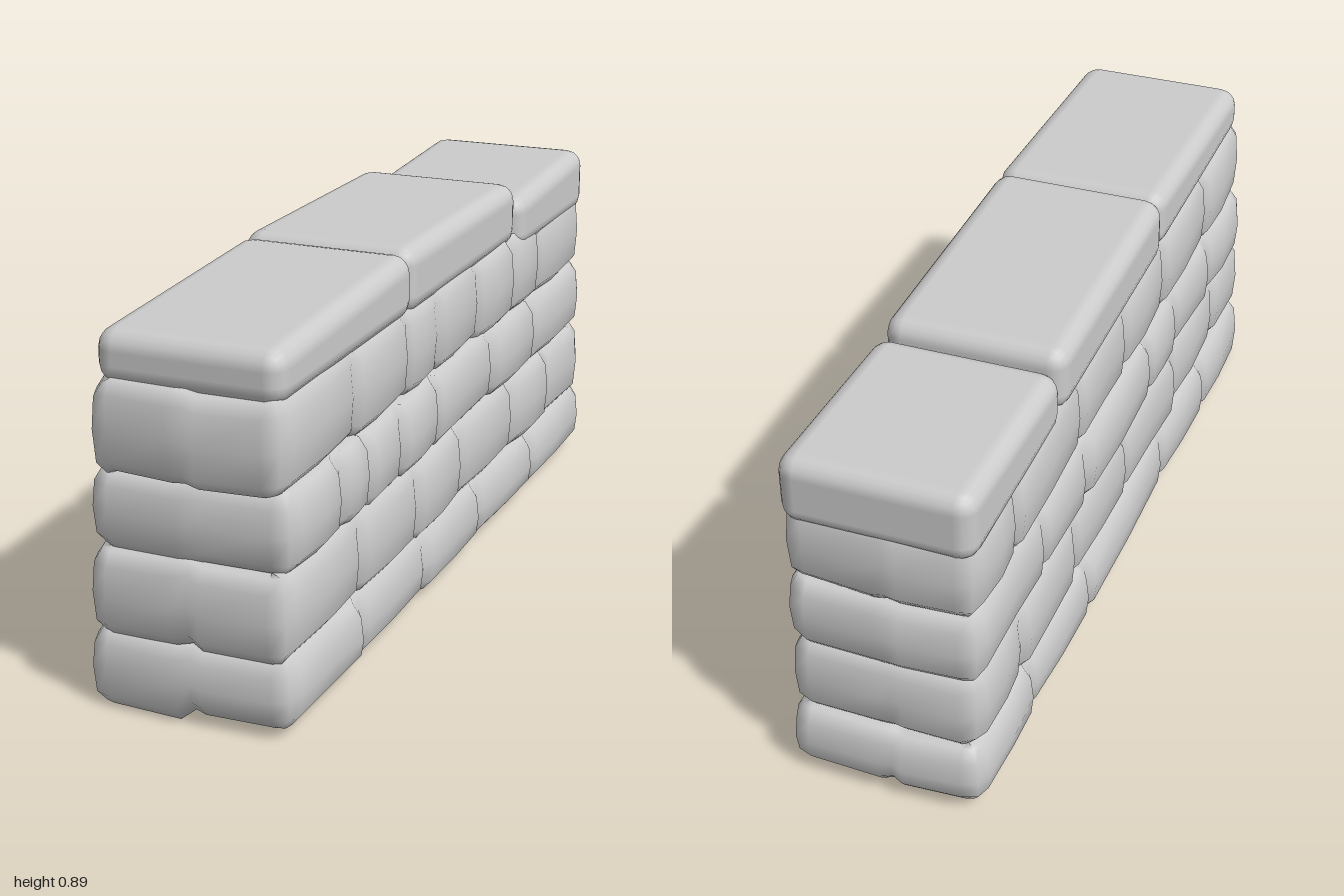
import * as THREE from 'three';
import { RoundedBoxGeometry } from 'three/addons/geometries/RoundedBoxGeometry.js';

const material = new THREE.MeshStandardMaterial({ color: 0xcccccc });
const { lerp } = THREE.MathUtils;

// Small seeded generator, returns -1..1
let seed = 7;
function wobble() {
  seed = (seed * 16807) % 2147483647;
  return (seed / 2147483647) * 2 - 1;
}

// Courses from the ground up: y range, x of each side at [front, back],
// z of the ends, and the z of the joints along each side
const courses = [
  { y: [0.015, 0.183], left: [0.242, 0.246], right: [-0.25, -0.217], z: [0.985, -0.992], split: true,
    leftJoints: [0.6, 0.22, -0.15, -0.55], rightJoints: [0.63, 0.28, -0.29, -0.66] },
  { y: [0.183, 0.376], left: [0.238, 0.242], right: [-0.239, -0.21], z: [0.99, -0.975], split: true,
    leftJoints: [0.6, 0.26, -0.03, -0.4, -0.68], rightJoints: [0.74, 0.38, 0, -0.36, -0.7] },
  { y: [0.376, 0.553], left: [0.24, 0.24], right: [-0.241, -0.213], z: [0.97, -0.975],
    leftJoints: [0.7, 0.55, 0.36, 0.13, -0.24, -0.55], rightJoints: [0.66, 0.38, 0.16, -0.3, -0.57] },
  { y: [0.553, 0.755], left: [0.23, 0.234], right: [-0.222, -0.208], z: [0.99, -0.972],
    leftJoints: [0.6, 0.3, 0.11, -0.16, -0.4, -0.6], rightJoints: [0.65, 0.3, 0, -0.32, -0.73] },
];

// Columns { x, z, nx, nz } along one long side, front to back: each stone has its own
// slightly tilted face, and the joints between stones are pressed in
function sideColumns(course, side, s) {
  const [front, back] = course.z;
  const edges = [front - 0.05, ...course[`${side}Joints`], back + 0.05];
  const columns = [];
  const add = (z, out) => columns.push({
    x: lerp(...course[side], (front - z) / (front - back)) + s * out, z, nx: s, nz: 0,
  });
  for (let i = 0; i < edges.length - 1; i++) {
    const a = edges[i], b = edges[i + 1], last = i === edges.length - 2;
    const near = wobble() * 0.007, far = wobble() * 0.007;
    add(i ? a - 0.028 : a, i ? near : 0);
    add((a + b) / 2, (near + far) / 2 + 0.003);
    add(last ? b : b + 0.028, last ? 0 : far);
    if (!last) add(b, -0.014);
  }
  return columns;
}

// Columns across one end, from the model's left to its right, with softened corners
function endColumns(course, end, n) {
  const z = course.z[end], l = course.left[end], r = course.right[end];
  const diagonal = Math.SQRT1_2;
  return [
    { x: l - 0.012, z: z - n * 0.014, nx: diagonal, nz: n * diagonal },
    { x: l - 0.05, z, nx: 0, nz: n },
    { x: 0.03, z: z + n * 0.006, nx: 0, nz: n },
    { x: 0, z: z - n * (course.split ? 0.008 : -0.006), nx: 0, nz: n },
    { x: -0.03, z: z + n * 0.008, nx: 0, nz: n },
    { x: r + 0.05, z, nx: 0, nz: n },
    { x: r + 0.012, z: z - n * 0.014, nx: -diagonal, nz: n * diagonal },
  ];
}

// A course is one soft band of stones: its plan outline swept up a rounded profile
function buildCourse(course, row) {
  const loop = [
    ...sideColumns(course, 'left', 1),
    ...endColumns(course, 1, -1),
    ...sideColumns(course, 'right', -1).reverse(),
    ...endColumns(course, 0, 1).reverse(),
  ];
  const [y0, y1] = course.y;
  // [height, inset] from the lower lip to the upper lip
  const profile = [
    [y0, 0.075], [y0, 0.026], [y0 + 0.026, 0.004], [(y0 + y1) / 2, -0.002],
    [y1 - 0.03, 0.004], [y1, 0.024], [y1 + 0.004, 0.075],
  ];
  const positions = [], index = [], count = loop.length;
  for (const { x, z, nx, nz } of loop) {
    const drift = wobble() * 0.007;
    // The lowest course lifts a little toward the left and the back
    const lift = row ? 0 : x < 0 ? lerp(-0.008, 0.014, (1 - z) / 2) : 0.014;
    profile.forEach(([y, inset], k) => {
      const low = k < 3 ? lift : 0;
      positions.push(x - nx * inset, y + low + (k > 2 || row ? drift : 0), z - nz * inset);
    });
  }
  const rows = profile.length;
  for (let j = 0; j < count; j++) {
    for (let k = 0; k < rows - 1; k++) {
      const a = j * rows + k, b = ((j + 1) % count) * rows + k;
      index.push(a, b, b + 1, a, b + 1, a + 1);
    }
  }
  const geometry = new THREE.BufferGeometry();
  geometry.setAttribute('position', new THREE.Float32BufferAttribute(positions, 3));
  geometry.setIndex(index);
  geometry.computeVertexNormals();
  const mesh = new THREE.Mesh(geometry, material);
  mesh.name = `course${row + 1}`;
  return mesh;
}

// Long cap stone with a sloping top: z and top heights run front to back
function buildCap({ x, z, tops, foot }) {
  const w = x[1] - x[0], d = z[0] - z[1];
  const geometry = new RoundedBoxGeometry(w, 1, d, 2, 0.045);
  const p = geometry.attributes.position;
  for (let i = 0; i < p.count; i++) {
    const t = 0.5 - p.getZ(i) / d, top = lerp(...tops, t), y = p.getY(i);
    // Keep the rounding at both edges and shorten the straight part between them
    const height = y > 0 ? top - (0.5 - y) : foot + (y + 0.5);
    p.setXYZ(i, (x[0] + x[1]) / 2 + p.getX(i), height, (z[0] + z[1]) / 2 + p.getZ(i));
  }
  const mesh = new THREE.Mesh(geometry, material);
  mesh.name = 'capStone';
  return mesh;
}

export function createModel() {
  seed = 7;
  const wall = new THREE.Group();
  wall.name = 'stoneWall';

  // Mortar core, seen only as the raised underside
  const core = new THREE.Mesh(new THREE.BoxGeometry(0.37, 0.72, 1.86), material);
  core.name = 'core';
  core.position.set(0.008, 0.395, 0);
  wall.add(core);

  courses.forEach((course, row) => wall.add(buildCourse(course, row)));

  const caps = [
    { z: [0.968, 0.262], tops: [0.862, 0.893], x: [-0.212, 0.222], foot: 0.74 },
    { z: [0.274, -0.458], tops: [0.897, 0.896], x: [-0.216, 0.218], foot: 0.735 },
    { z: [-0.442, -0.978], tops: [0.853, 0.882], x: [-0.208, 0.234], foot: 0.71 },
  ];
  caps.forEach((cap) => wall.add(buildCap(cap)));
  return wall;
}
